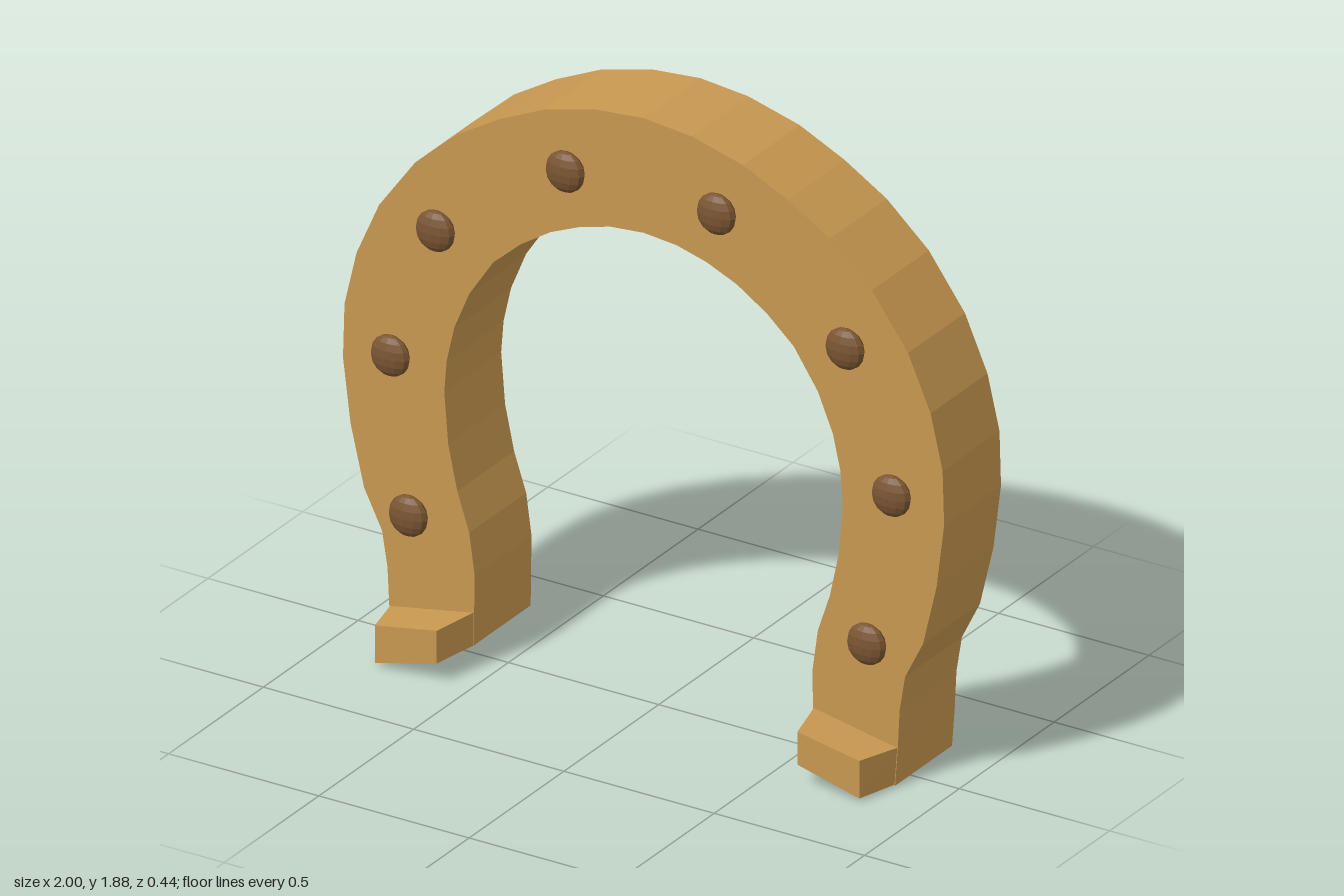
import * as THREE from 'three';

const tan = new THREE.MeshStandardMaterial({ color: 0xc89850 });
tan.name = 'tan metal';
const brown = new THREE.MeshStandardMaterial({ color: 0x7a5533 });
brown.name = 'dark brown nails';

// Half outlines on the +x side: outer from crown to heel, inner from heel to crown
const OUTER = [[0, 1.875], [0.16, 1.86], [0.33, 1.815], [0.48, 1.745], [0.62, 1.66], [0.76, 1.535],
  [0.88, 1.37], [0.955, 1.2], [0.995, 1.03], [1, 0.86], [0.975, 0.66], [0.93, 0.47], [0.87, 0.35],
  [0.852, 0.24], [0.846, 0.12], [0.837, 0]];
const INNER = [[0.565, 0.07], [0.562, 0.29], [0.58, 0.42], [0.62, 0.54], [0.65, 0.68], [0.663, 0.84],
  [0.655, 0.94], [0.63, 1.05], [0.58, 1.17], [0.5, 1.29], [0.41, 1.37], [0.31, 1.435], [0.21, 1.478],
  [0.11, 1.505], [0, 1.515]];

function createShoe() {
  const half = [...OUTER, ...INNER];
  const left = half.slice(1, -1).reverse().map(([x, y]) => [-x, y]);
  const points = [...half, ...left].map(([x, y]) => new THREE.Vector2(x, y));
  const geo = new THREE.ExtrudeGeometry(new THREE.Shape(points), { depth: 0.3, bevelEnabled: false });
  geo.translate(0, 0, -0.22);
  const shoe = new THREE.Mesh(geo, tan);
  shoe.name = 'shoe';
  return shoe;
}

// Tapered block standing forward from a heel; its corners follow the slanted heel
function createHeelBlock(side) {
  const geo = new THREE.BoxGeometry(1, 1, 1).toNonIndexed();
  const pos = geo.attributes.position;
  for (let i = 0; i < pos.count; i++) {
    const front = pos.getZ(i) > 0;
    const out = pos.getX(i) * side > 0;
    const top = pos.getY(i) > 0;
    const x = out ? (front ? 0.806 : top ? 0.846 : 0.837) : (front ? 0.6 : 0.564);
    const y = out ? (top ? 0.12 : 0.002) : (top ? 0.173 : 0.07);
    const slope = front ? (out ? 0.008 : -0.008) : 0;
    pos.setXYZ(i, side * x, y + slope, front ? 0.22 : 0.07);
  }
  geo.computeVertexNormals();
  const block = new THREE.Mesh(geo, tan);
  block.name = side > 0 ? 'leftHeelBlock' : 'rightHeelBlock';
  return block;
}

// Flattened nail heads around the front face
function createNails() {
  const nails = new THREE.Group();
  nails.name = 'nails';
  const geo = new THREE.SphereGeometry(0.064, 12, 8).toNonIndexed();
  geo.scale(1, 1, 0.47);
  geo.computeVertexNormals();
  const spots = [[-0.765, 0.437], [-0.825, 0.924], [-0.675, 1.355], [-0.243, 1.655],
    [0.26, 1.655], [0.688, 1.345], [0.842, 0.924], [0.76, 0.437]];
  spots.forEach(([x, y], i) => {
    const nail = new THREE.Mesh(geo, brown);
    nail.name = `nail${i + 1}`;
    nail.position.set(x, y, 0.108);
    nails.add(nail);
  });
  return nails;
}

export function createModel() {
  const model = new THREE.Group();
  model.name = 'horseshoe';
  model.add(createShoe(), createHeelBlock(1), createHeelBlock(-1), createNails());
  return model;
}
